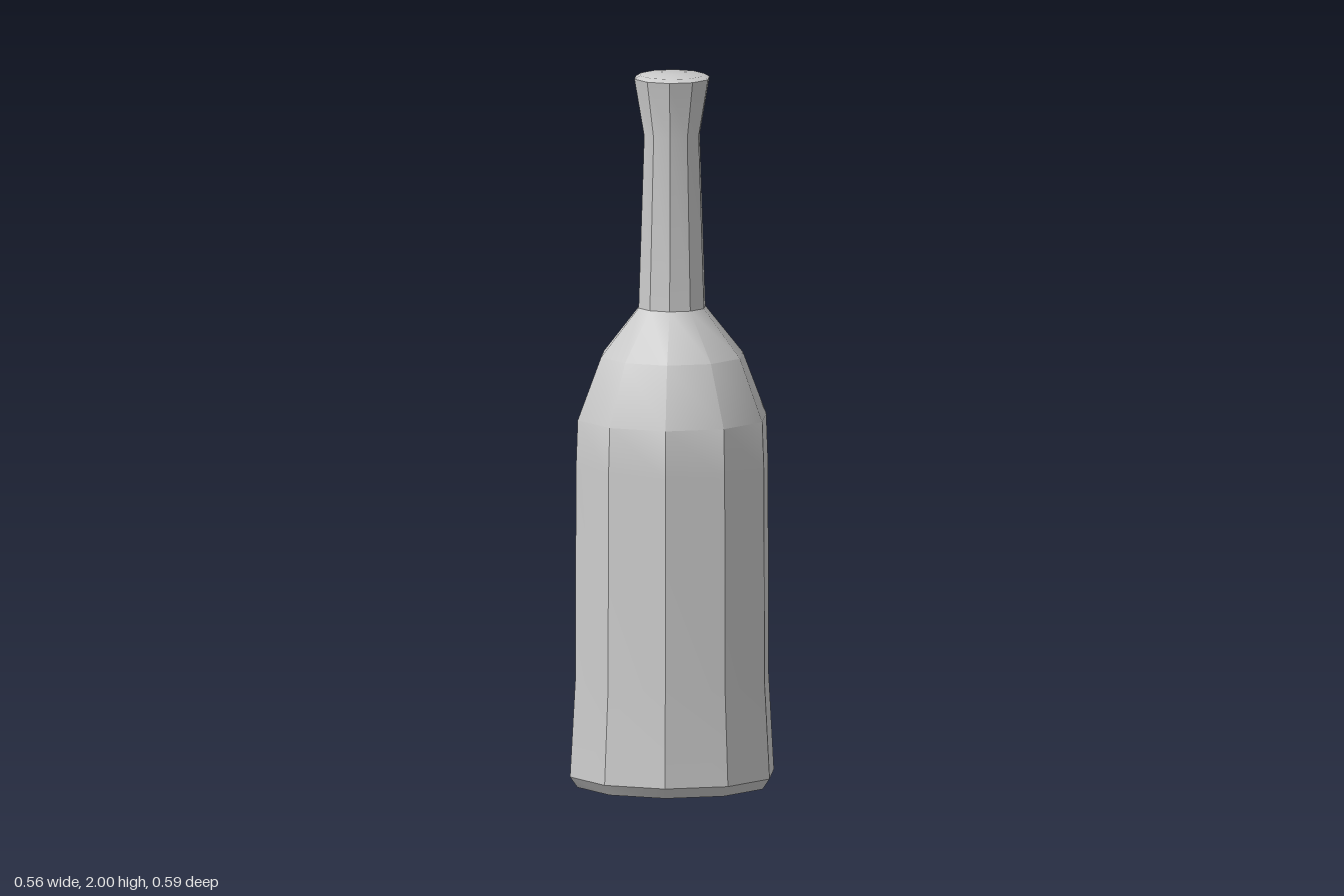
import * as THREE from 'three';
import { toCreasedNormals } from 'three/addons/utils/BufferGeometryUtils.js';

const SIDES = 10;
const CREASE = THREE.MathUtils.degToRad(34.5);

// Ten-sided turned part from [radius, height] pairs, listed bottom to top
function turned(name, profile, material) {
  const points = profile.map(([r, y]) => new THREE.Vector2(r, y));
  const geometry = toCreasedNormals(new THREE.LatheGeometry(points, SIDES), CREASE);
  const mesh = new THREE.Mesh(geometry, material);
  mesh.name = name;
  return mesh;
}

export function createModel() {
  const group = new THREE.Group();
  group.name = 'bottle';
  const material = new THREE.MeshStandardMaterial({ color: 0xcccccc });

  // Closed base with a bevel, slightly flared foot, straight wall and rounded shoulder
  group.add(turned('body', [
    [0, 0], [0.272, 0], [0.293, 0.03], [0.278, 0.3],
    [0.276, 0.9], [0.271, 1.035], [0.204, 1.21], [0.096, 1.345],
  ], material));

  // Tapering neck, flared lip and closed top
  group.add(turned('neck', [
    [0.096, 1.345], [0.08, 1.83], [0.108, 1.991], [0.092, 2], [0, 2],
  ], material));

  return group;
}
